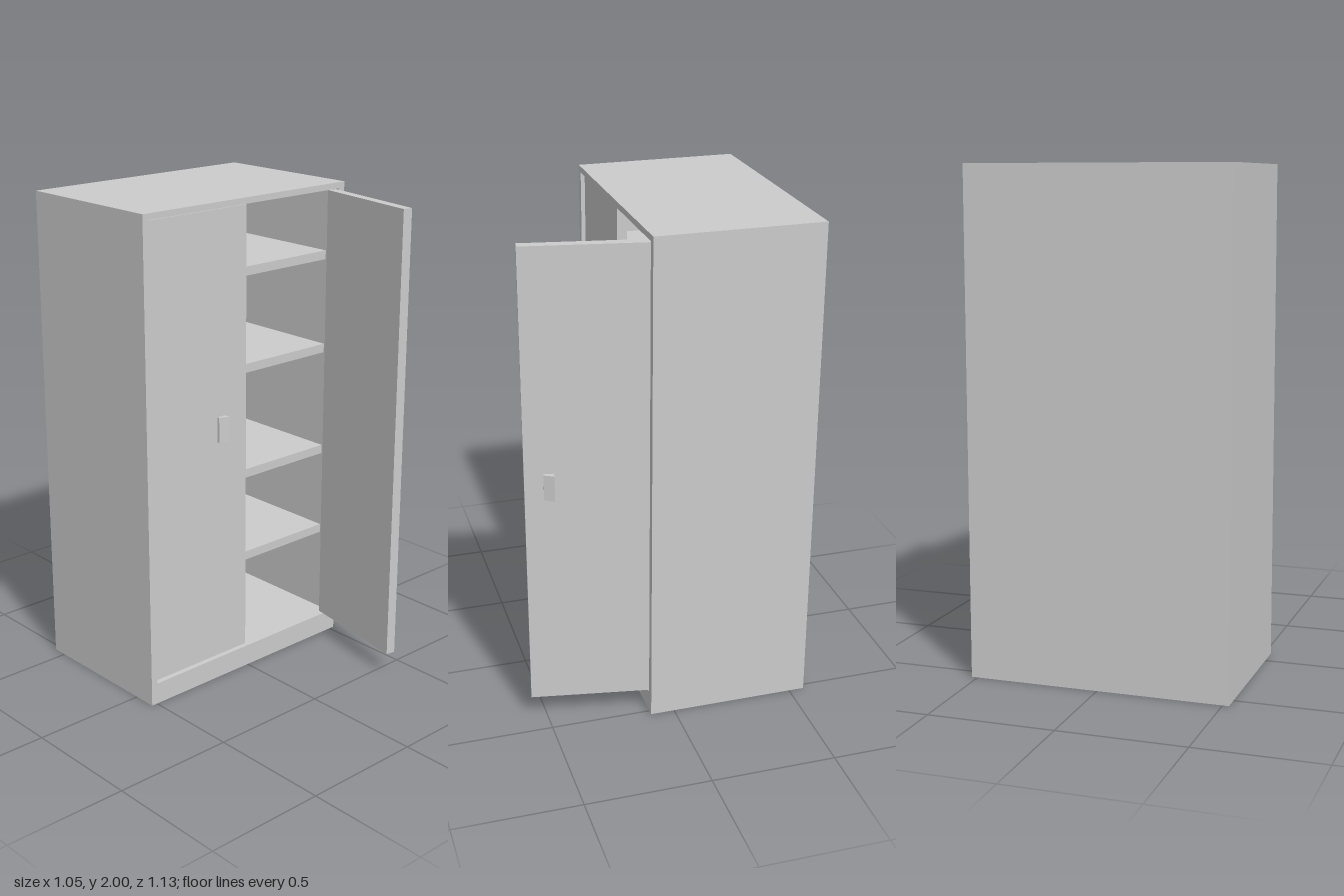
import * as THREE from 'three';

const W = 1.05, H = 2, BACK = -0.563, FRONT = 0.097, WALL = 0.03, BASE = 0.09;
const DOOR = { w: 0.488, h: 1.875, t: 0.04, y: 0.095, z: 0.082 };
const material = new THREE.MeshStandardMaterial({ color: 0xcccccc, flatShading: true });

// Box given by its minimum and maximum corners
function box(name, x0, x1, y0, y1, z0, z1) {
  const mesh = new THREE.Mesh(new THREE.BoxGeometry(x1 - x0, y1 - y0, z1 - z0), material);
  mesh.name = name;
  mesh.position.set((x0 + x1) / 2, (y0 + y1) / 2, (z0 + z1) / 2);
  return mesh;
}

// Wedge-shaped pull: low on its left edge, raised on its right edge
function makeHandle(x, y) {
  const profile = new THREE.Shape([
    new THREE.Vector2(0, -0.002), new THREE.Vector2(0.04, -0.002),
    new THREE.Vector2(0.04, 0.026), new THREE.Vector2(0, 0.01),
  ]);
  const geometry = new THREE.ExtrudeGeometry(profile, { depth: 0.105, bevelEnabled: false });
  geometry.rotateX(-Math.PI / 2).scale(1, 1, -1);
  // Mirroring reverses the winding, so swap two corners of every triangle
  const p = geometry.attributes.position, a = new THREE.Vector3(), b = new THREE.Vector3();
  for (let i = 0; i < p.count; i += 3) {
    a.fromBufferAttribute(p, i + 1);
    b.fromBufferAttribute(p, i + 2);
    p.setXYZ(i + 1, b.x, b.y, b.z);
    p.setXYZ(i + 2, a.x, a.y, a.z);
  }
  geometry.computeVertexNormals();
  const handle = new THREE.Mesh(geometry, material);
  handle.name = 'handle';
  handle.position.set(x, y, 0);
  return handle;
}

// Door with its hinge at the origin; side is the direction of the hinge
function makeDoor(name, side, handleX, handleY, swing) {
  const door = new THREE.Group();
  door.name = name;
  const far = -side * DOOR.w;
  door.add(box('doorPanel', Math.min(0, far), Math.max(0, far), 0, DOOR.h, -DOOR.t, 0));
  door.add(makeHandle(handleX, handleY - DOOR.y));
  door.position.set(side * (side > 0 ? 0.493 : 0.488), DOOR.y, DOOR.z);
  door.rotation.y = swing;
  return door;
}

export function createModel() {
  const model = new THREE.Group();
  model.name = 'cabinet';

  // Carcass: one hollow frame, closed by a back panel and standing on a plinth
  const x = W / 2, ix = x - WALL, top = H - 0.025;
  const outline = new THREE.Shape([[-x, 0], [x, 0], [x, H], [-x, H]].map(p => new THREE.Vector2(...p)));
  outline.holes.push(new THREE.Path(
    [[-ix, BASE], [-ix, top], [ix, top], [ix, BASE]].map(p => new THREE.Vector2(...p))));
  const frame = new THREE.Mesh(
    new THREE.ExtrudeGeometry(outline, { depth: FRONT - BACK, bevelEnabled: false }), material);
  frame.name = 'carcass';
  frame.position.z = BACK;
  model.add(frame);
  model.add(box('backPanel', -ix, ix, BASE, top, BACK, BACK + WALL));

  // Shelves
  for (const y of [0.45, 0.82, 1.273, 1.673]) {
    model.add(box('shelf', -ix, ix, y, y + 0.037, BACK + WALL, 0.03));
  }

  // Closed right door and open left door
  model.add(makeDoor('rightDoor', -1, 0.335, 1.037, 0));
  model.add(makeDoor('leftDoor', 1, -0.415, 0.98, THREE.MathUtils.degToRad(80)));
  return model;
}
